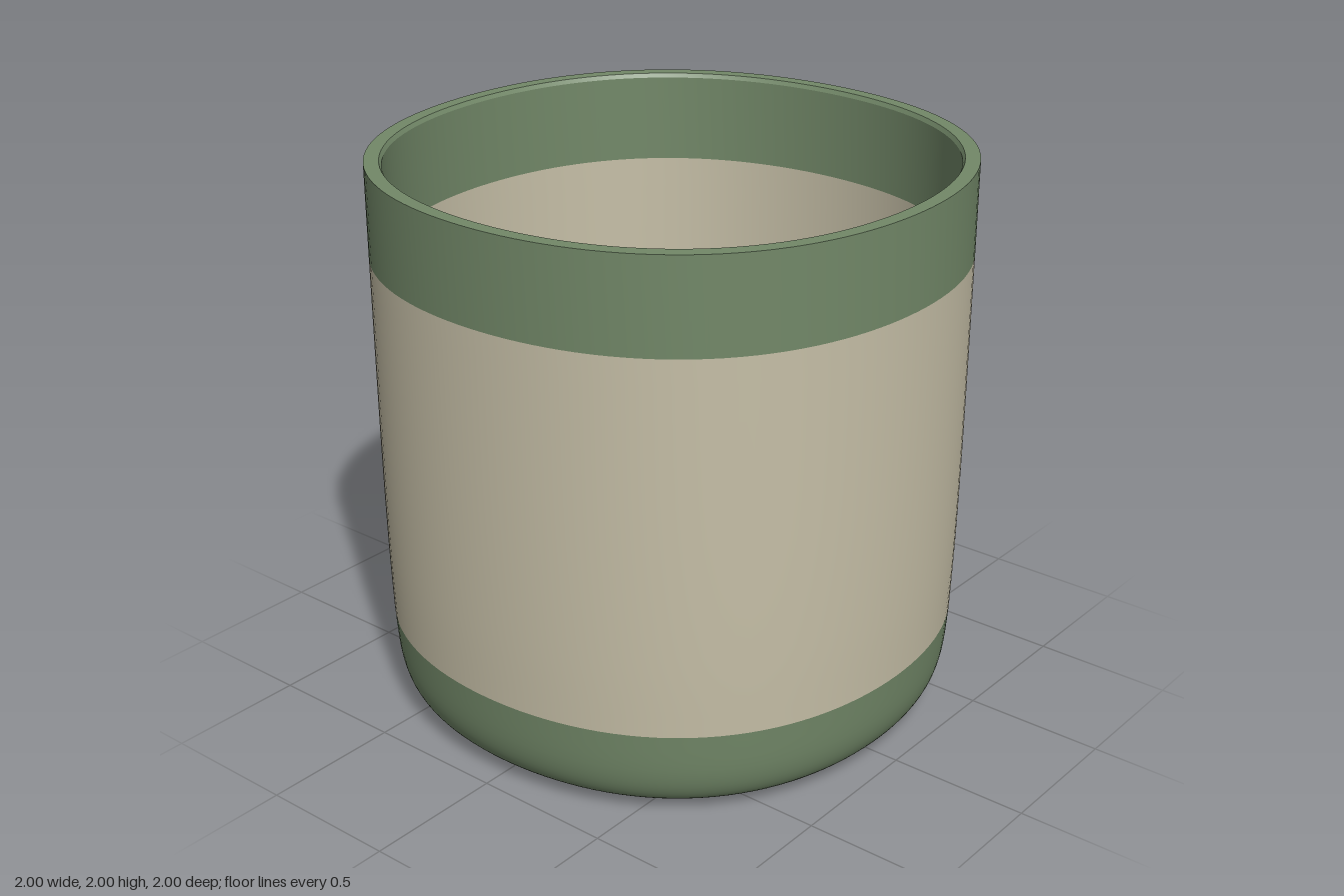
import * as THREE from 'three';
import { mergeVertices } from 'three/addons/utils/BufferGeometryUtils.js';

const GREEN = 0x728868;
const BEIGE = 0xc6bfa7;
const SQUARENESS = 0.0285; // how far the diagonals bulge beyond a true circle

// Revolves a profile, then pushes the diagonals out for a softly squared round.
function ring(name, color, points, smooth = true) {
  const pts = points.map(([r, y]) => new THREE.Vector2(r, y));
  const profile = smooth ? new THREE.SplineCurve(pts).getPoints(pts.length * 4) : pts;
  profile.forEach((p) => { p.x = Math.max(p.x, 0); p.y = Math.max(p.y, 0); });
  let geo = new THREE.LatheGeometry(profile, 128);
  const pos = geo.attributes.position;
  for (let i = 0; i < pos.count; i++) {
    const x = pos.getX(i), z = pos.getZ(i);
    const k = 1 + SQUARENESS * (1 - Math.cos(4 * Math.atan2(z, x))) / 2;
    pos.setX(i, x * k);
    pos.setZ(i, z * k);
  }
  // weld the seam so the normals run smoothly all round
  geo.deleteAttribute('uv');
  geo.deleteAttribute('normal');
  geo = mergeVertices(geo, 1e-5);
  geo.computeVertexNormals();
  const mesh = new THREE.Mesh(geo, new THREE.MeshStandardMaterial({ color }));
  mesh.name = name;
  return mesh;
}

export function createModel() {
  const cup = new THREE.Group();
  cup.name = 'cup';

  // Outside, from the centre of the base up to the rim
  cup.add(ring('base', GREEN, [
    [0, 0], [0.4, 0], [0.7, 0.004], [0.82, 0.015], [0.9, 0.042],
    [0.945, 0.09], [0.972, 0.18], [0.985, 0.335],
  ]));
  cup.add(ring('outerWall', BEIGE, [[0.985, 0.335], [0.993, 0.6], [0.998, 1], [1, 1.67]]));
  cup.add(ring('outerRimBand', GREEN, [[1, 1.67], [1, 2]], false));

  // Flat lip with a small step on its inner edge
  cup.add(ring('lip', GREEN, [[1, 2], [0.95, 2]], false));
  cup.add(ring('lipBevel', GREEN, [[0.95, 2], [0.942, 1.985]], false));

  // Inside, from the rim down to the centre of the floor
  cup.add(ring('innerRimBand', GREEN, [[0.942, 1.985], [0.942, 1.67]], false));
  cup.add(ring('innerWallAndFloor', BEIGE, [
    [0.942, 1.67], [0.94, 1], [0.935, 0.6], [0.925, 0.35], [0.908, 0.22],
    [0.875, 0.13], [0.82, 0.085], [0.7, 0.063], [0.4, 0.06], [0, 0.06],
  ]));
  return cup;
}
